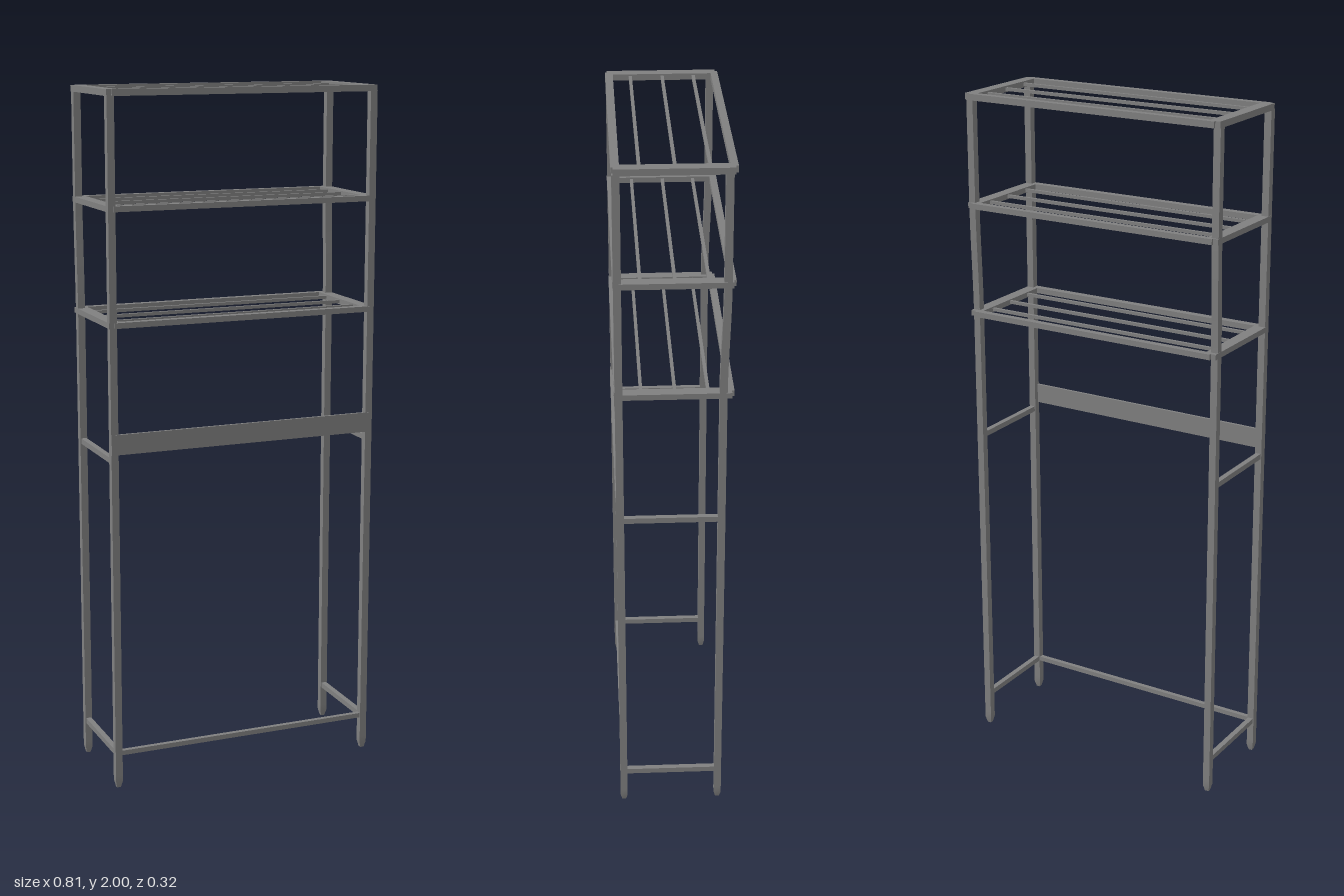
import * as THREE from 'three';

export function createModel() {
  const model = new THREE.Group();
  model.name = 'shelvingRack';
  const metal = new THREE.MeshStandardMaterial({ color: 0x808080 });
  metal.name = 'grey metal';

  const add = (parent, name, geometry, x, y, z) => {
    const mesh = new THREE.Mesh(geometry, metal);
    mesh.name = name;
    mesh.position.set(x, y, z);
    parent.add(mesh);
  };
  const bar = (parent, name, w, h, d, x, y, z) =>
    add(parent, name, new THREE.BoxGeometry(w, h, d), x, y, z);

  // Square tube leg with a tapered foot; lean shifts the upper part in z
  const legGeometry = (lean) => {
    const height = 1.985;
    const g = new THREE.BoxGeometry(0.021, height, 0.021, 1, 100, 1);
    g.translate(0, height / 2, 0);
    const p = g.attributes.position;
    for (let i = 0; i < p.count; i++) {
      const y = p.getY(i);
      const taper = y < 0.015 ? 0.55 : 1;
      p.setX(i, p.getX(i) * taper);
      p.setZ(i, p.getZ(i) * taper + lean * THREE.MathUtils.smoothstep(y, 1.36, 1.68));
    }
    g.computeVertexNormals();
    return g;
  };

  for (const side of [1, -1]) {
    const label = side > 0 ? 'left' : 'right';
    add(model, label + 'FrontLeg', legGeometry(0), side * 0.394, 0, 0.148);
    add(model, label + 'BackLeg', legGeometry(-0.008), side * 0.394, 0, -0.132);
    // Side rails joining front and back legs
    for (const y of [0.105, 0.976])
      bar(model, label + 'SideRail', 0.016, 0.016, 0.27, side * 0.394, y, 0.008);
  }

  // Slatted shelves
  const shelves = [['lowerShelf', 1.36, 0.016], ['middleShelf', 1.68, 0.016], ['topShelf', 1.991, 0.018]];
  for (const [name, y, h] of shelves) {
    const shelf = new THREE.Group();
    shelf.name = name;
    shelf.position.y = y;
    model.add(shelf);
    bar(shelf, 'frontBar', 0.78, h, 0.022, 0, 0, 0.149);
    bar(shelf, 'backBar', 0.78, h, 0.02, 0, 0, -0.152);
    for (const side of [1, -1])
      bar(shelf, 'endBar', 0.035, h, 0.31, side * 0.3875, 0, 0);
    for (const z of [-0.092, -0.003, 0.088])
      bar(shelf, 'slat', 0.75, 0.009, 0.009, 0, 0, z);
  }

  // Front panel and front foot rail
  bar(model, 'frontPanel', 0.808, 0.058, 0.008, 0, 1.024, 0.156);
  bar(model, 'frontFootRail', 0.78, 0.014, 0.014, 0, 0.105, 0.148);

  return model;
}
